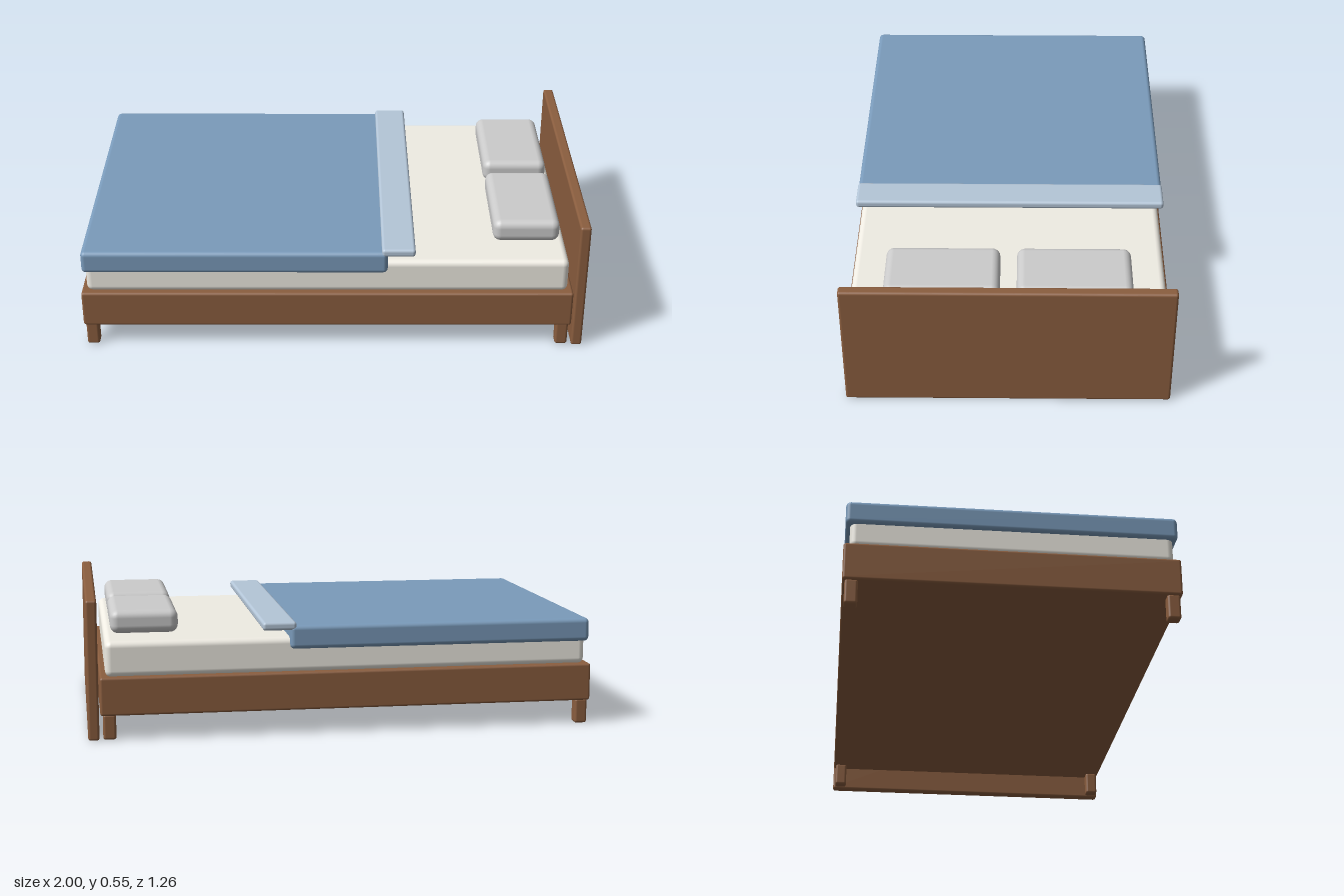
import * as THREE from 'three';
import { RoundedBoxGeometry } from 'three/addons/geometries/RoundedBoxGeometry.js';

const material = (color) => new THREE.MeshStandardMaterial({ color });

export function createModel() {
  const bed = new THREE.Group();
  bed.name = 'bed';
  const wood = material(0x8b5e3f);
  const sheet = material(0xf0ede4);
  const blue = material(0x7a9bbb);
  const paleBlue = material(0xb4c6d8);
  const grey = material(0xcccccc);

  // Soft-edged block given by its extents along x, y and z
  function block(name, mat, [x0, x1], [y0, y1], [z0, z1], radius, segments = 2) {
    const geometry = new RoundedBoxGeometry(x1 - x0, y1 - y0, z1 - z0, segments, radius);
    const mesh = new THREE.Mesh(geometry, mat);
    mesh.name = name;
    mesh.position.set((x0 + x1) / 2, (y0 + y1) / 2, (z0 + z1) / 2);
    bed.add(mesh);
  }

  // Wooden frame and headboard
  block('frame', wood, [-1, 0.952], [0.095, 0.245], [-0.632, 0.632], 0.01);
  block('headboard', wood, [0.957, 1], [0, 0.545], [-0.632, 0.632], 0.01);

  // Four short legs at the frame corners
  for (const x of [-0.967, 0.917]) {
    for (const z of [-0.598, 0.598]) {
      block('leg', wood, [x - 0.025, x + 0.025], [0, 0.1], [z - 0.025, z + 0.025], 0.01);
    }
  }

  // Mattress, blanket and its folded-back strip
  block('mattress', sheet, [-0.98, 0.93], [0.24, 0.38], [-0.61, 0.61], 0.025, 3);
  block('blanket', blue, [-0.992, 0.214], [0.335, 0.428], [-0.628, 0.628], 0.018, 3);
  block('blanketFold', paleBlue, [0.19, 0.322], [0.41, 0.443], [-0.628, 0.628], 0.012);

  // Two pillows side by side
  for (const z of [-0.254, 0.254]) {
    block('pillow', grey, [0.638, 0.904], [0.387, 0.48], [z - 0.222, z + 0.222], 0.032, 3);
  }

  return bed;
}
